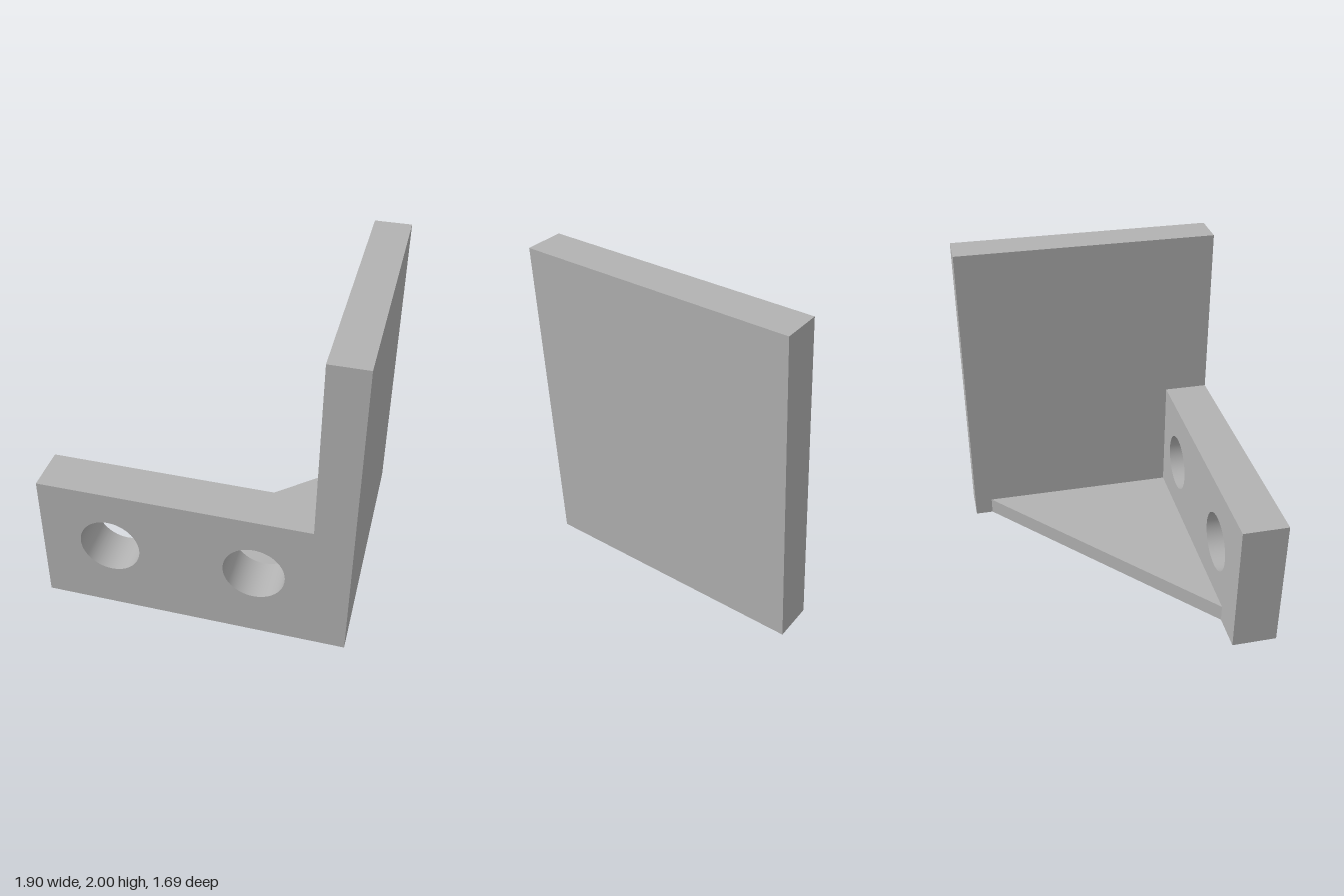
import * as THREE from 'three';
import { toCreasedNormals } from 'three/addons/utils/BufferGeometryUtils.js';

const grey = new THREE.MeshStandardMaterial({ color: 0xb2b2b2 });
grey.name = 'grey';

const WALL_X = 0.72, HALF_W = 0.95, HALF_D = 0.845;
const FLANGE_BACK = 0.56, FLANGE_H = 0.875, HEIGHT = 2, WEB_H = 0.11;

function polygon(points) {
  return new THREE.Shape(points.map(([x, y]) => new THREE.Vector2(x, y)));
}

function extrude(shape, depth) {
  const geometry = new THREE.ExtrudeGeometry(shape, { depth, bevelEnabled: false, curveSegments: 48 });
  return toCreasedNormals(geometry, Math.PI / 6);
}

export function createModel() {
  const group = new THREE.Group();
  group.name = 'angleBracket';
  const add = (name, geometry) => {
    const mesh = new THREE.Mesh(geometry, grey);
    mesh.name = name;
    group.add(mesh);
  };

  // Tall side plate
  const wall = new THREE.BoxGeometry(HALF_W - WALL_X, HEIGHT, 2 * HALF_D);
  wall.translate((HALF_W + WALL_X) / 2, HEIGHT / 2, 0);
  add('sidePlate', wall);

  // Low front flange with two bolt holes
  const flange = polygon([[-HALF_W, 0], [WALL_X, 0], [WALL_X, FLANGE_H], [-HALF_W, FLANGE_H]]);
  for (const x of [-0.515, 0.38]) {
    flange.holes.push(new THREE.Path().absarc(x, 0.475, 0.188, 0, Math.PI * 2, true));
  }
  add('frontFlange', extrude(flange, HALF_D - FLANGE_BACK).translate(0, 0, FLANGE_BACK));

  // Thin triangular web across the bottom corner; shape y becomes -z
  const web = polygon([[-0.72, -FLANGE_BACK], [WALL_X, -FLANGE_BACK], [WALL_X, 0.73]]);
  add('bottomWeb', extrude(web, WEB_H).rotateX(-Math.PI / 2));

  return group;
}
